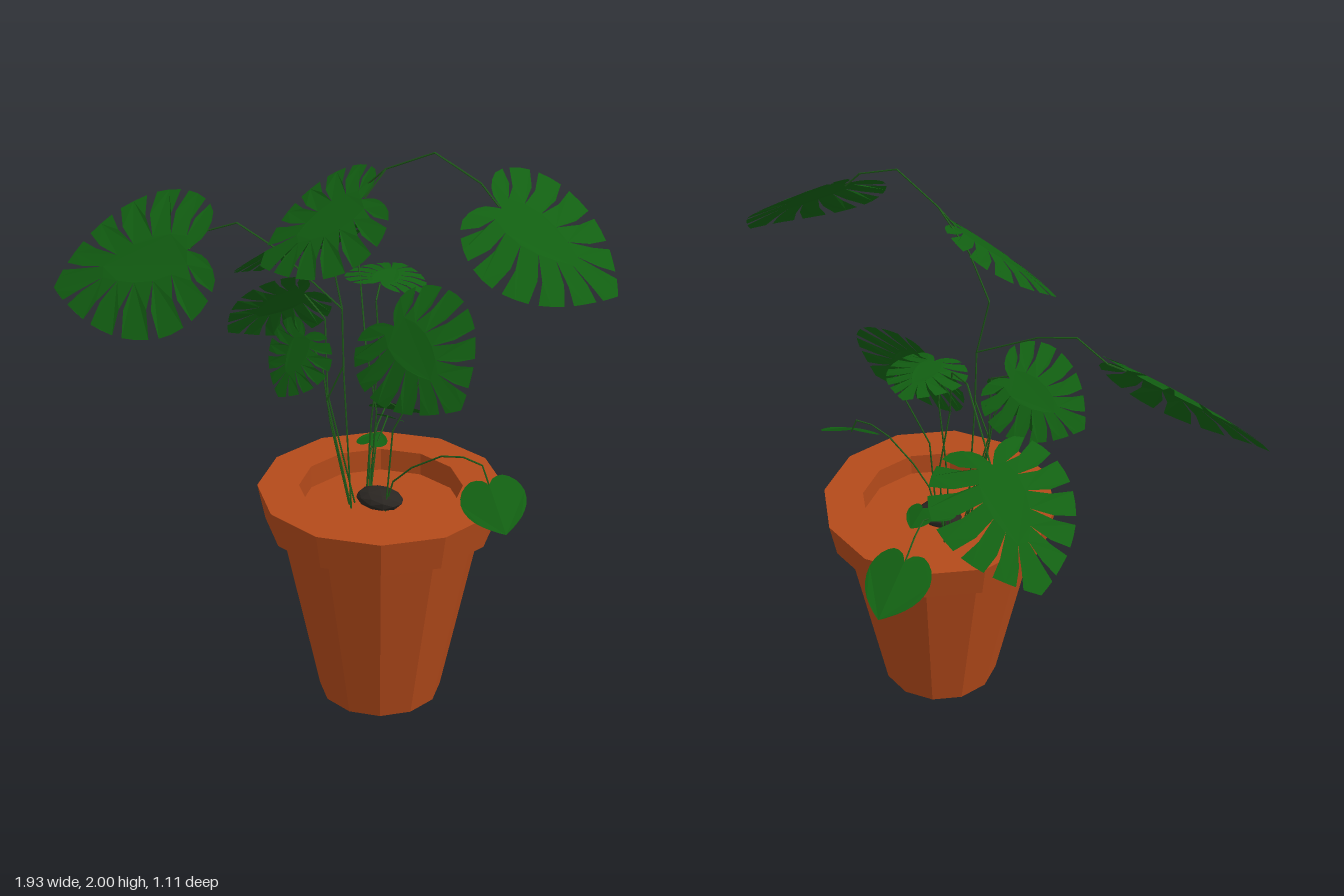
import * as THREE from 'three';
import { mergeGeometries } from 'three/addons/utils/BufferGeometryUtils.js';

const mat = (color) => new THREE.MeshStandardMaterial({ color, flatShading: true, side: THREE.DoubleSide });
const clay = mat(0xb44a1a), leafGreen = mat(0x126012), stemGreen = mat(0x1f5a1a), dark = mat(0x2a2622);
const V = (a) => new THREE.Vector3(...a);

function mesh(name, geometry, material) {
  const m = new THREE.Mesh(geometry, material);
  m.name = name;
  return m;
}

// Right half of the heart-shaped margin: stalk joint at the origin, tip on +y
const margin = new THREE.SplineCurve([
  [0, 0], [0.08, -0.11], [0.25, -0.15], [0.42, -0.03], [0.5, 0.18],
  [0.45, 0.42], [0.31, 0.62], [0.13, 0.77], [0, 0.85],
].map((p) => new THREE.Vector2(...p)));

// Half outline from joint to tip; each slit runs in from the margin towards the midrib
function halfOutline(slits) {
  const pts = [];
  let u = 0;
  const run = (end, steps) => {
    for (let i = 0; i <= steps; i++) pts.push(margin.getPoint(u + (end - u) * i / steps));
  };
  for (let i = 0; i < slits; i++) {
    const at = 0.3 + 0.58 * i / (slits - 1), gap = 0.016;
    run(at - gap, i ? 2 : 6);
    const rib = new THREE.Vector2(0, 0.02 + 0.62 * (at - 0.25));
    const edge = margin.getPoint(at);
    const mid = rib.clone().lerp(edge, 0.65).add(new THREE.Vector2(0, 0.025));
    pts.push(mid.clone().add(new THREE.Vector2(0.005, -0.014)));
    pts.push(rib.clone().lerp(edge, 0.3));
    pts.push(mid.add(new THREE.Vector2(-0.005, 0.014)));
    u = at + gap;
  }
  run(1, slits ? 3 : 16);
  return pts;
}

function leafGeometry(slits) {
  const right = halfOutline(slits);
  const left = right.slice(1, -1).reverse().map((p) => new THREE.Vector2(-p.x, p.y));
  const g = new THREE.ShapeGeometry(new THREE.Shape([...right, ...left]));
  // Droop the blade to both sides and at the tip
  const p = g.attributes.position;
  for (let i = 0; i < p.count; i++) {
    const x = p.getX(i), y = p.getY(i);
    p.setZ(i, 0.05 - 0.3 * x * x - 0.12 * y * y);
  }
  g.computeVertexNormals();
  return g;
}
const splitLeaf = leafGeometry(6), youngLeaf = leafGeometry(0);

// Places a blade from its joint to its tip, with its upper side towards up
function leaf(name, geometry, base, tip, up, width) {
  const y = V(tip).sub(V(base)), size = y.length() / 0.85;
  y.normalize();
  const x = y.clone().cross(V(up)).normalize();
  const z = x.clone().cross(y);
  const m = mesh(name, geometry, leafGreen);
  m.quaternion.setFromRotationMatrix(new THREE.Matrix4().makeBasis(x, y, z));
  m.position.copy(V(base));
  m.scale.set(size * width, size, size);
  return m;
}

// Thin angular stalk through a few points
function stem(name, points) {
  const parts = [];
  for (let i = 1; i < points.length; i++) {
    const a = V(points[i - 1]), b = V(points[i]), d = b.clone().sub(a);
    const g = new THREE.CylinderGeometry(0.003, 0.003, d.length(), 5);
    g.applyQuaternion(new THREE.Quaternion().setFromUnitVectors(new THREE.Vector3(0, 1, 0), d.normalize()));
    const c = a.add(b).multiplyScalar(0.5);
    parts.push(g.translate(c.x, c.y, c.z));
  }
  return mesh(name, mergeGeometries(parts), stemGreen);
}

export function createModel() {
  const plant = new THREE.Group();
  plant.name = 'pottedPlant';

  // Twelve-sided pot with a thick rim and a recessed floor
  const profile = [[0.21, 0], [0.345, 0.655], [0.39, 0.655], [0.415, 0.78], [0.275, 0.78], [0.275, 0.7], [0, 0.7]];
  const pot = mesh('pot', new THREE.LatheGeometry(profile.map((p) => new THREE.Vector2(...p)), 12), clay);
  pot.position.set(0.16, 0, 0.14);
  plant.add(pot);

  // Dark clump the stalks grow from
  const clump = mesh('rootClump', new THREE.IcosahedronGeometry(0.085, 1), dark);
  clump.scale.set(1, 0.4, 0.75);
  clump.position.set(0.15, 0.725, 0.13);
  plant.add(clump);

  // Split leaves: name, joint, tip, upper side, width
  const splitLeaves = [
    ['topLeftLeaf', [0.6, 1.845, 0.2], [0.97, 1.63, 0.11], [0.5, 0.8, 0.38], 0.92],
    ['topMiddleLeaf', [0.16, 1.81, 0.25], [-0.13, 1.615, 0.42], [-0.33, 0.7, 0.6], 1.02],
    ['bigRightLeaf', [-0.5, 1.52, 0.26], [-0.97, 1.37, 0.42], [0, 0.68, 0.73], 0.9],
    ['frontLeaf', [0.2, 1.355, 0.11], [0.48, 1.16, 0.2], [0, 0.45, 0.9], 1.08],
    ['smallFrontLeaf', [-0.075, 1.3, 0.22], [-0.14, 1.105, 0.31], [-0.15, 0.5, 0.85], 1.04],
    ['rightLeaf', [-0.12, 1.41, 0.16], [-0.375, 1.27, 0.24], [-0.5, 0.57, -0.62], 0.95],
    ['backLeaf', [-0.37, 1.42, -0.28], [-0.7, 1.2, -0.45], [-0.48, 0.82, -0.2], 0.95],
    ['smallBackLeaf', [0.09, 1.45, 0.03], [0.05, 1.455, -0.19], [0.1, 1, 0.1], 1.05],
  ];
  for (const [name, ...rest] of splitLeaves) plant.add(leaf(name, splitLeaf, ...rest));

  // Young uncut leaves near the rim
  const youngLeaves = [
    ['youngLeftLeaf', [0.57, 0.885, 0.15], [0.69, 0.8, 0.26], [0.3, 0.8, 0.5], 1],
    ['youngBackLeaf', [-0.02, 0.855, -0.28], [-0.055, 0.76, -0.47], [-0.1, 0.85, -0.4], 0.9],
    ['sproutBackLeaf', [0.06, 0.92, -0.08], [0.06, 0.885, -0.15], [0, 0.9, -0.4], 1.1],
    ['sproutFrontLeaf', [0.05, 0.86, 0.03], [0.04, 0.87, -0.06], [0, 1, 0.1], 1],
  ];
  for (const [name, ...rest] of youngLeaves) plant.add(leaf(name, youngLeaf, ...rest));

  // Stalks, each from the clump to a leaf joint
  const stems = {
    topLeftStem: [[0.08, 0.7, 0.2], [0.055, 1.2, 0.205], [0.05, 1.42, 0.205], [0, 1.64, 0.205],
      [0.08, 1.8, 0.2], [0.21, 1.92, 0.205], [0.38, 2, 0.205], [0.54, 1.93, 0.205], [0.6, 1.865, 0.2]],
    topMiddleStem: [[0.21, 1.92, 0.205], [0.16, 1.83, 0.25]],
    bigRightStem: [[0.08, 0.7, 0.2], [-0.01, 1.08, 0.205], [0.055, 1.22, 0.205], [0.05, 1.42, 0.205],
      [-0.2, 1.58, 0.205], [-0.35, 1.64, 0.205], [-0.47, 1.59, 0.205], [-0.5, 1.54, 0.27]],
    frontStem: [[0.19, 0.7, 0.16], [0.21, 1, 0.15], [0.3, 1.2, 0.11], [0.29, 1.33, 0.08], [0.2, 1.36, 0.11]],
    smallFrontStem: [[0.06, 0.7, 0.18], [0, 1, 0.2], [-0.03, 1.2, 0.2], [-0.075, 1.305, 0.22]],
    rightStem: [[0.07, 0.7, 0.16], [-0.01, 1.1, 0.2], [-0.03, 1.36, 0.18], [-0.12, 1.42, 0.16]],
    backStem: [[0.06, 0.7, 0.04], [0.09, 1, 0.05], [0.06, 1.24, 0.07], [-0.02, 1.49, -0.02],
      [-0.18, 1.585, -0.15], [-0.32, 1.49, -0.25], [-0.37, 1.435, -0.28]],
    smallBackStem: [[0.08, 0.7, 0.1], [0.1, 1, 0.1], [0.13, 1.24, 0.1], [0.11, 1.42, 0.09], [0.09, 1.455, 0.03]],
    youngLeftStem: [[0.18, 0.7, 0.15], [0.21, 0.81, 0.145], [0.28, 0.88, 0.145], [0.39, 0.95, 0.145],
      [0.47, 0.967, 0.145], [0.54, 0.955, 0.145], [0.57, 0.89, 0.15]],
    youngBackStem: [[0.08, 0.7, 0.08], [0.05, 0.81, 0.03], [0.03, 0.89, -0.06], [0.02, 0.925, -0.13],
      [0, 0.91, -0.2], [-0.02, 0.86, -0.28]],
    sproutBackStem: [[0.08, 0.7, 0.07], [0.07, 0.85, 0.02], [0.06, 0.925, -0.08]],
    sproutFrontStem: [[0.08, 0.7, 0.07], [0.05, 0.86, 0.03]],
  };
  for (const [name, points] of Object.entries(stems)) plant.add(stem(name, points));

  return plant;
}
